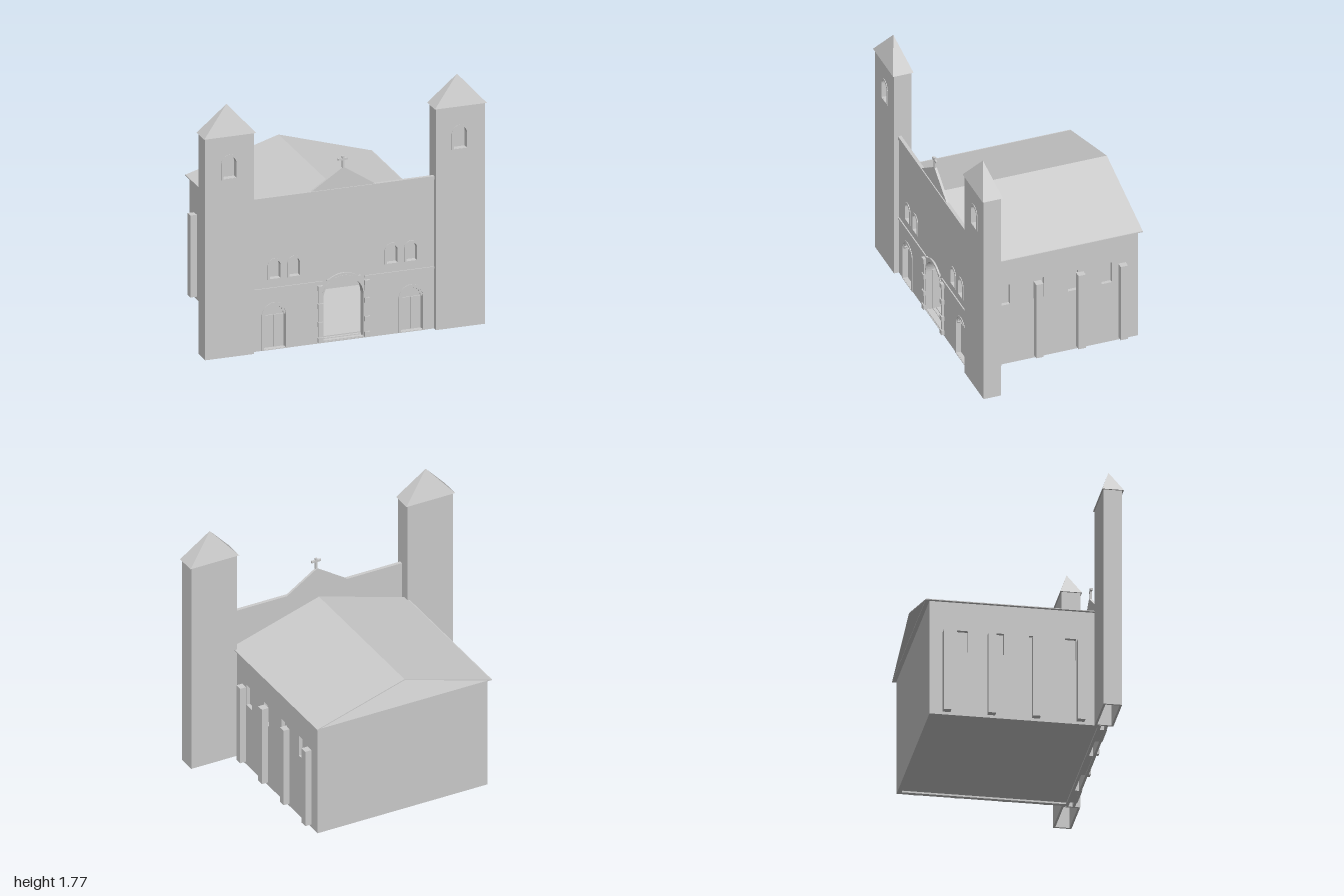
import * as THREE from 'three';

const stone = new THREE.MeshStandardMaterial({ color: 0xcccccc, side: THREE.DoubleSide });
stone.name = 'pale stone';

// Shape with a round-arched top: half width, sill and crown heights
function arch(cx, hw, y0, top, Type = THREE.Shape) {
  const s = new Type();
  s.moveTo(cx - hw, y0);
  s.lineTo(cx + hw, y0);
  s.lineTo(cx + hw, top - hw);
  s.absarc(cx, top - hw, hw, 0, Math.PI, false);
  s.lineTo(cx - hw, y0);
  return s;
}

function poly(points, Type = THREE.Shape) {
  return new Type(points.map(([x, y]) => new THREE.Vector2(x, y)));
}

const rect = (x0, x1, y0, y1, Type) => poly([[x0, y0], [x1, y0], [x1, y1], [x0, y1]], Type);

function add(parent, name, geometry) {
  const m = new THREE.Mesh(geometry, stone);
  m.name = name;
  parent.add(m);
  return m;
}

// Box given by its limits
function box(parent, name, x0, x1, y0, y1, z0, z1) {
  const g = new THREE.BoxGeometry(x1 - x0, y1 - y0, z1 - z0);
  g.translate((x0 + x1) / 2, (y0 + y1) / 2, (z0 + z1) / 2);
  return add(parent, name, g);
}

// Shape pushed from z0 to z1
function slab(parent, name, shape, z0, z1) {
  const g = new THREE.ExtrudeGeometry(shape, { depth: z1 - z0, bevelEnabled: false, curveSegments: 12 });
  g.translate(0, 0, z0);
  return add(parent, name, g);
}

// Arched frame with a deep reveal
function frame(parent, name, cx, outer, inner, y0, topOut, topIn, z0, z1) {
  const s = arch(cx, outer, y0, topOut);
  s.holes.push(arch(cx, inner, y0 + 0.004, topIn, THREE.Path));
  slab(parent, name, s, z0, z1);
}

function cross(parent, name, y0, y1, armY, z) {
  box(parent, name + 'Post', -0.007, 0.007, y0, y1, z - 0.007, z + 0.007);
  box(parent, name + 'Arm', -0.035, 0.035, armY - 0.007, armY + 0.007, z - 0.007, z + 0.007);
}

function tower(parent, side) {
  const g = new THREE.Group();
  g.name = side > 0 ? 'leftTower' : 'rightTower';
  const c = 0.815 * side, hw = 0.173, h = 1.565, t = 0.015;
  // Hollow shaft with an arched belfry window
  const front = rect(c - hw, c + hw, 0, h);
  front.holes.push(arch(c, 0.055, 1.265, 1.427, THREE.Path));
  slab(g, 'towerFront', front, 0.61, 0.625);
  box(g, 'towerBack', c - hw, c + hw, 0, h, 0.5, 0.5 + t);
  box(g, 'towerSide', c - hw, c - hw + t, 0, h, 0.5 + t, 0.61);
  box(g, 'towerSide', c + hw - t, c + hw, 0, h, 0.5 + t, 0.61);
  frame(g, 'belfryFrame', c, 0.061, 0.046, 1.26, 1.433, 1.418, 0.58, 0.629);
  slab(g, 'belfryPane', arch(c, 0.05, 1.262, 1.422), 0.575, 0.582);
  // Pyramid roof
  let roof = new THREE.ConeGeometry(Math.SQRT1_2, 1, 4, 1);
  roof.rotateY(Math.PI / 4);
  roof.scale(0.368, 0.205, 0.145);
  roof.translate(c, h + 0.1025, 0.5625);
  roof = roof.toNonIndexed();
  roof.computeVertexNormals();
  add(g, 'towerRoof', roof);
  parent.add(g);
}

function nave(parent) {
  const g = new THREE.Group();
  g.name = 'nave';
  const w = 0.64, t = 0.03, zb = -0.61, zf = 0.545, h = 0.825;
  const windows = [0.338, 0.097, -0.147, -0.387], piers = [0.405, 0.105, -0.195, -0.495];
  for (const s of [1, -1]) {
    // Side wall with window recesses
    const wall = rect(...(s > 0 ? [-zf, -zb] : [zb, zf]), 0, h);
    for (const z of windows) wall.holes.push(rect(-s * z - 0.037, -s * z + 0.037, 0.465, 0.62, THREE.Path));
    slab(g, 'sideWall', wall, w - t, w).rotation.y = s * Math.PI / 2;
    for (const z of windows) {
      const x = s * (w - t);
      box(g, 'sidePane', x - 0.004, x + 0.004, 0.46, 0.625, z - 0.04, z + 0.04);
    }
    for (const z of piers) {
      const x = s * 0.66;
      box(g, 'buttress', x - 0.025, x + 0.025, 0.02, 0.6, z - 0.026, z + 0.026);
    }
  }
  box(g, 'backWall', -w + t, w - t, 0, h, zb, zb + t);
  const front = rect(-w + t, w - t, 0, h);
  front.holes.push(arch(0, 0.145, 0.015, 0.455, THREE.Path));
  slab(g, 'innerFrontWall', front, zf - 0.02, zf);
  box(g, 'floor', -w + t, w - t, 0.012, 0.022, zb + t, zf - 0.02);
  // Altar seen through the entrance
  box(g, 'altarPlatform', -0.5, 0.5, 0.022, 0.13, -0.58, -0.3);
  box(g, 'altar', -0.085, 0.082, 0.13, 0.33, -0.56, -0.45);
  cross(g, 'altarCross', 0.345, 0.42, 0.39, -0.573);
  // Gabled roof open at its ends, over a flat ceiling
  box(g, 'ceiling', -0.66, 0.66, 0.822, 0.828, -0.637, zf);
  slab(g, 'roof', poly([[-0.66, 0.826], [0, 1.025], [0.66, 0.826], [0.64, 0.826], [0, 1.018], [-0.64, 0.826]]), -0.637, zf);
  parent.add(g);
}

function facade(parent) {
  const g = new THREE.Group();
  g.name = 'facade';
  const w = 0.642, zb = 0.573, zf = 0.59;
  const wall = poly([[-w, 0], [w, 0], [w, 1.08], [0.225, 1.08], [0, 1.227], [-0.225, 1.08], [-w, 1.08]]);
  wall.holes.push(arch(0, 0.147, 0.015, 0.457, THREE.Path));
  for (const s of [1, -1]) {
    wall.holes.push(arch(s * 0.484, 0.085, 0.006, 0.327, THREE.Path));
    for (const x of [0.345, 0.482]) {
      wall.holes.push(arch(s * x, 0.045, 0.502, 0.638, THREE.Path));
      frame(g, 'windowFrame', s * x, 0.052, 0.038, 0.498, 0.646, 0.631, 0.545, 0.595);
      slab(g, 'windowPane', arch(s * x, 0.042, 0.5, 0.635), 0.547, 0.553);
    }
    // Side door with two leaves and a scalloped arch
    const c = s * 0.484;
    frame(g, 'doorFrame', c, 0.093, 0.078, 0.001, 0.335, 0.32, 0.545, 0.595);
    slab(g, 'tympanum', arch(c, 0.08, 0.004, 0.322), 0.546, 0.552);
    for (const k of [-1, 1]) {
      const x = c + k * 0.0375;
      box(g, 'doorLeaf', x - 0.036, x + 0.036, 0.008, 0.235, 0.552, 0.56);
    }
    for (let i = 0; i < 9; i++) {
      const a = Math.PI * (i + 0.5) / 9;
      const disc = new THREE.CylinderGeometry(0.014, 0.014, 0.02, 12);
      disc.rotateX(Math.PI / 2);
      disc.translate(c + 0.077 * Math.cos(a), 0.242 + 0.077 * Math.sin(a), 0.578);
      add(g, 'scallop', disc);
    }
    // Stepped stone jambs of the main entrance
    box(g, 'entranceJamb', s * 0.163 - 0.012, s * 0.163 + 0.012, 0.01, 0.41, 0.588, 0.602);
    for (const y of [0.01, 0.12, 0.25, 0.375]) {
      box(g, 'jambBlock', s * 0.165 - 0.018, s * 0.165 + 0.018, y, y + 0.035, 0.588, 0.61);
    }
  }
  slab(g, 'frontWall', wall, zb, zf);
  frame(g, 'entranceFrame', 0, 0.153, 0.142, 0.006, 0.463, 0.452, 0.545, 0.595);
  // Curved hood above the entrance
  const hood = new THREE.Shape();
  hood.absarc(0, 0.31, 0.172, 0.85, Math.PI - 0.85, false);
  hood.absarc(0, 0.31, 0.157, Math.PI - 0.85, 0.85, true);
  slab(g, 'entranceHood', hood, 0.588, 0.602);
  for (const s of [1, -1]) box(g, 'hoodEnd', s * 0.107 - 0.014, s * 0.107 + 0.014, 0.435, 0.449, 0.588, 0.602);
  // Entrance leaf folded inward
  box(g, 'openLeaf', -0.137, -0.127, 0.022, 0.325, 0.41, 0.55);
  // Horizontal mouldings
  for (const s of [1, -1]) box(g, 'stringCourse', s > 0 ? 0.15 : -w, s > 0 ? w : -0.15, 0.428, 0.44, zf, 0.598);
  box(g, 'cornice', -w, w, 1.056, 1.08, zf, 0.597);
  cross(g, 'gableCross', 1.22, 1.303, 1.282, 0.585);
  parent.add(g);
}

export function createModel() {
  const church = new THREE.Group();
  church.name = 'church';
  nave(church);
  facade(church);
  for (const side of [1, -1]) tower(church, side);
  return church;
}
